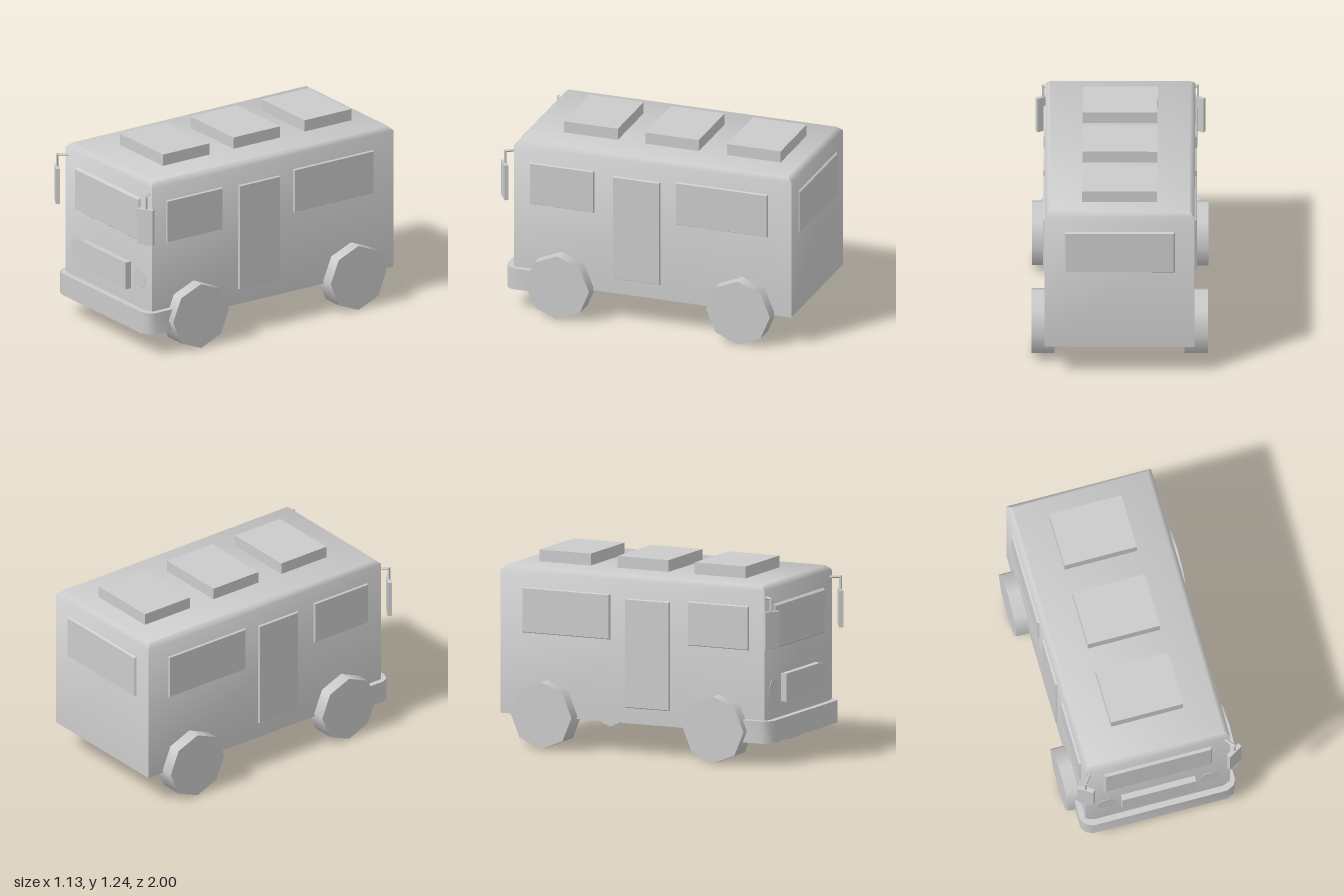
import * as THREE from 'three';
import { toCreasedNormals } from 'three/addons/utils/BufferGeometryUtils.js';

const material = new THREE.MeshStandardMaterial({ color: 0xcccccc });

const BODY = { x: 0.48, bottom: 0.2, top: 1.16, front: 0.905, back: -0.987, bevel: 0.03 };

function add(parent, name, geometry, x = 0, y = 0, z = 0) {
  const mesh = new THREE.Mesh(geometry, material);
  mesh.name = name;
  mesh.position.set(x, y, z);
  parent.add(mesh);
  return mesh;
}

// Thin panel whose outer (+z) face is drawn in by `inset`; its back sits at z = 0.
function panel(w, h, d, inset) {
  const g = new THREE.BoxGeometry(w, h, d).translate(0, 0, d / 2);
  const p = g.attributes.position;
  for (let i = 0; i < p.count; i++) {
    if (p.getZ(i) < d / 2) continue;
    p.setX(i, p.getX(i) - Math.sign(p.getX(i)) * inset);
    p.setY(i, p.getY(i) - Math.sign(p.getY(i)) * inset);
  }
  return toCreasedNormals(g, 0.5);
}

// Box with a bevel round its top edge
function bodyGeometry() {
  const { x, bottom, top, front, back, bevel } = BODY;
  const h = top - bottom;
  const g = new THREE.BoxGeometry(2 * x, h, front - back, 1, 2, 1);
  const p = g.attributes.position;
  for (let i = 0; i < p.count; i++) {
    const y = p.getY(i);
    if (Math.abs(y) < 0.01) p.setY(i, h / 2 - bevel);
    else if (y > 0) {
      p.setX(i, p.getX(i) - Math.sign(p.getX(i)) * bevel);
      p.setZ(i, p.getZ(i) - Math.sign(p.getZ(i)) * bevel);
    }
  }
  return toCreasedNormals(g, 0.9);
}

// Wrap-around bumper: U-shaped plan with cut corners, extruded upwards
function bumperGeometry() {
  const outer = [[0.515, 0.765], [0.515, 0.9], [0.495, 0.94], [0.445, 0.963]];
  const inner = [[0.475, 0.765], [0.475, 0.885], [0.46, 0.912], [0.43, 0.923]];
  const mirror = (pts) => pts.map(([x, z]) => [-x, z]).reverse();
  const plan = [...outer, ...mirror(outer), ...mirror(inner).reverse(), ...[...inner].reverse()];
  const shape = new THREE.Shape(plan.map(([x, z]) => new THREE.Vector2(x, -z)));
  const g = new THREE.ExtrudeGeometry(shape, { depth: 0.145, bevelEnabled: false });
  return toCreasedNormals(g.rotateX(-Math.PI / 2), 0.9);
}

// Square rod between two points
function rod(parent, name, a, b) {
  const dir = b.clone().sub(a);
  const mesh = add(parent, name, new THREE.BoxGeometry(0.013, dir.length() + 0.013, 0.013));
  mesh.position.copy(a).add(b).multiplyScalar(0.5);
  mesh.quaternion.setFromUnitVectors(new THREE.Vector3(0, 1, 0), dir.normalize());
}

export function createModel() {
  const model = new THREE.Group();
  model.name = 'camperVan';

  add(model, 'body', bodyGeometry(), 0, (BODY.bottom + BODY.top) / 2, (BODY.front + BODY.back) / 2);
  add(model, 'bumper', bumperGeometry(), 0, 0.145, 0);

  // Front and rear details
  add(model, 'windshield', panel(0.72, 0.295, 0.018, 0.012), 0, 0.882, BODY.front);
  add(model, 'rearWindow', panel(0.71, 0.29, 0.012, 0.008), 0, 0.882, BODY.back).rotation.y = Math.PI;
  add(model, 'grille', new THREE.BoxGeometry(0.49, 0.182, 0.06), 0, 0.472, 0.915);

  // Roof boxes
  for (const z of [0.467, -0.086, -0.644]) {
    add(model, 'roofBox', new THREE.BoxGeometry(0.48, 0.085, 0.366), 0, 1.194, z);
  }

  for (const [side, s] of [['left', 1], ['right', -1]]) {
    const group = new THREE.Group();
    group.name = side + 'Side';
    model.add(group);

    // Windows and door: centre z, centre y, width, height
    const panels = [
      ['frontSideWindow', 0.576, 0.882, 0.44, 0.287],
      ['door', 0.067, 0.656, 0.324, 0.71],
      ['rearSideWindow', -0.514, 0.882, 0.628, 0.295],
    ];
    for (const [name, z, y, w, h] of panels) {
      add(group, name, panel(w, h, 0.012, 0.006), s * BODY.x, y, z).rotation.y = s * Math.PI / 2;
    }

    // Eight-sided wheels
    for (const [name, z] of [['frontWheel', 0.58], ['rearWheel', -0.654]]) {
      const wheel = new THREE.CylinderGeometry(0.218, 0.218, 0.148, 8).rotateZ(Math.PI / 2);
      add(group, name, wheel, s * 0.491, 0.218, z);
    }

    // Six-sided headlight, nearly flush
    const light = new THREE.CylinderGeometry(0.074, 0.074, 0.02, 6).rotateY(Math.PI / 6).rotateX(Math.PI / 2);
    add(group, 'headlight', light, s * 0.344, 0.476, BODY.front - 0.007);

    // Angled mirror on a bent arm
    const mirror = new THREE.BoxGeometry(0.107, 0.24, 0.028);
    add(group, 'mirror', mirror, s * 0.492, 0.885, 0.962).rotation.y = s * 0.55;
    const elbow = new THREE.Vector3(s * 0.495, 1.085, 0.96);
    rod(group, 'mirrorArm', new THREE.Vector3(s * 0.45, 1.085, 0.9), elbow);
    rod(group, 'mirrorPost', elbow, new THREE.Vector3(s * 0.495, 1.0, 0.96));
  }
  return model;
}
